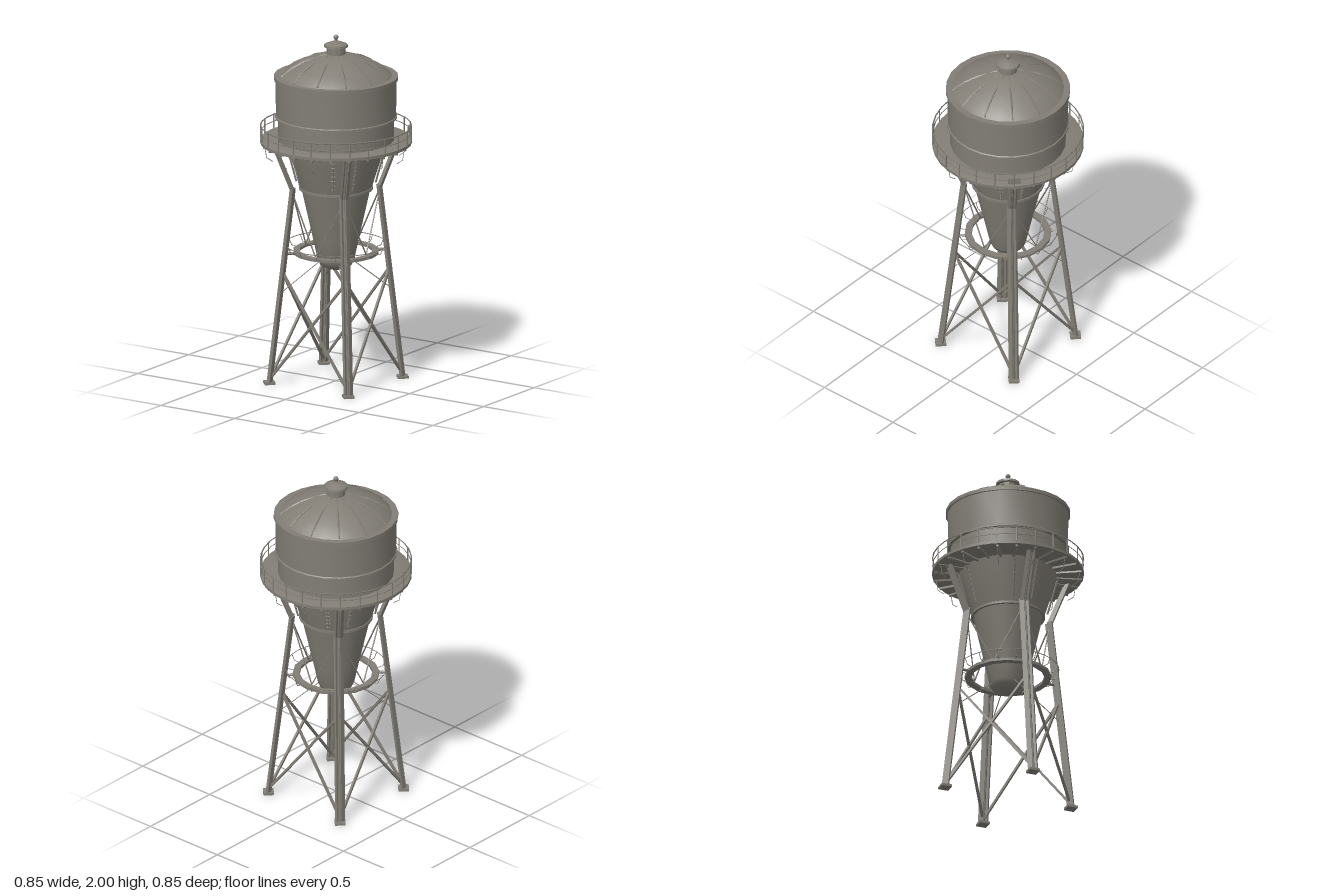
import * as THREE from 'three';
import { toCreasedNormals, mergeGeometries } from 'three/addons/utils/BufferGeometryUtils.js';

const V = (x, y, z) => new THREE.Vector3(x, y, z);
// point on a circle: angle, radius, height
const polar = (a, r, y) => V(Math.sin(a) * r, y, Math.cos(a) * r);

export function createModel() {
  const group = new THREE.Group();
  const steel = new THREE.MeshStandardMaterial({ color: 0x827e76, side: THREE.DoubleSide });
  steel.name = 'weatheredSteel';

  function add(name, geometry) {
    const mesh = new THREE.Mesh(geometry, steel);
    mesh.name = name;
    group.add(mesh);
    return mesh;
  }
  const lathe = (name, points, sides = 24, crease = 0.5) => add(name, toCreasedNormals(
    new THREE.LatheGeometry(points.map(p => new THREE.Vector2(...p)), sides), crease));

  // square or round bar between two points
  function bar(a, b, w, d = w, round = false) {
    const length = a.distanceTo(b);
    const geo = round ? new THREE.CylinderGeometry(w / 2, w / 2, length, 5)
      : new THREE.BoxGeometry(w, length, d);
    const dir = b.clone().sub(a).normalize();
    geo.applyQuaternion(new THREE.Quaternion().setFromUnitVectors(V(0, 1, 0), dir));
    const mid = a.clone().add(b).multiplyScalar(0.5);
    return geo.translate(mid.x, mid.y, mid.z);
  }
  const addBars = (name, list) => add(name, mergeGeometries(list));

  // thin hoop for railings
  function hoop(r, y, t) {
    return new THREE.TorusGeometry(r, t, 4, 32).rotateX(Math.PI / 2).translate(0, y, 0);
  }

  // --- Tank ---
  lathe('lowerTank', [[0.27, 1.385], [0.325, 1.385], [0.325, 1.53]]);
  lathe('upperTank', [[0.325, 1.525], [0.343, 1.525], [0.343, 1.535], [0.337, 1.54], [0.34, 1.75]]);
  lathe('tankRim', [[0.335, 1.745], [0.349, 1.745], [0.349, 1.766], [0.31, 1.766], [0.31, 1.75]]);
  lathe('domeRoof', [[0.318, 1.762], [0.295, 1.786], [0.245, 1.82], [0.18, 1.853],
    [0.11, 1.879], [0.05, 1.89]], 24, 0.6);
  const ribs = [];
  for (let i = 0; i < 12; i++) {
    const a = i * Math.PI / 6 + Math.PI / 12;
    const path = [[0.31, 1.77], [0.245, 1.82], [0.18, 1.853], [0.06, 1.887]];
    for (let k = 0; k < 3; k++) ribs.push(bar(polar(a, ...path[k]), polar(a, ...path[k + 1]), 0.008));
  }
  addBars('roofRibs', ribs);
  lathe('roofVent', [[0.052, 1.87], [0.052, 1.93], [0.068, 1.932], [0.066, 1.945],
    [0.03, 1.96], [0.008, 1.966], [0.008, 1.978]], 12);
  add('finial', new THREE.SphereGeometry(0.014, 10, 8).translate(0, 1.986, 0));

  // --- Hopper ---
  lathe('upperHopper', [[0.2, 1.12], [0.25, 1.28], [0.278, 1.39]]);
  lathe('hopperBand', [[0.185, 1.112], [0.208, 1.112], [0.208, 1.126], [0.19, 1.126]]);
  lathe('hopperCone', [[0, 0.642], [0.045, 0.652], [0.09, 0.675], [0.102, 0.7], [0.13, 0.83],
    [0.195, 1.12]], 20, 0.7);

  // --- Walkway around the tank ---
  lathe('walkwayDeck', [[0.27, 1.377], [0.42, 1.377], [0.425, 1.379], [0.425, 1.396],
    [0.42, 1.398], [0.31, 1.398]], 32);
  const rails = [hoop(0.422, 1.478, 0.004), hoop(0.422, 1.438, 0.0025)];
  const hangers = [], joists = [];
  for (let i = 0; i < 24; i++) {
    const a = i * Math.PI / 12;
    rails.push(bar(polar(a, 0.422, 1.39), polar(a, 0.422, 1.48), 0.005));
    joists.push(bar(polar(a, 0.27, 1.37), polar(a, 0.415, 1.37), 0.012));
    // bent wire hanging below the deck edge
    if (i % 2) {
      hangers.push(bar(polar(a, 0.405, 1.37), polar(a, 0.395, 1.31), 0.003));
      hangers.push(bar(polar(a, 0.395, 1.31), polar(a, 0.36, 1.285), 0.003));
    }
  }
  addBars('walkwayRailing', rails);
  addBars('deckJoists', joists);
  addBars('deckHangers', hangers);
  const hatch = add('deckHatch', new THREE.BoxGeometry(0.07, 0.04, 0.012));
  hatch.position.copy(polar(Math.PI * 0.75, 0.418, 1.43));
  hatch.rotation.y = Math.PI * 0.75;

  // rungs up the hopper, a pair on each side
  const ladders = [];
  for (let s = 0; s < 4; s++) for (const m of [-1, 1]) {
    const a = s * Math.PI / 2 + m * 0.54;
    ladders.push(bar(polar(a, 0.281, 1.37), polar(a, 0.222, 1.15), 0.008));
    for (let k = 0; k < 8; k++) {
      const t = k / 7, p = polar(a, 0.278 - t * 0.054, 1.35 - t * 0.19);
      const side = V(Math.cos(a), 0, -Math.sin(a)).multiplyScalar(0.009);
      ladders.push(bar(p.clone().sub(side), p.clone().add(side), 0.005));
    }
  }
  addBars('hopperRungs', ladders);

  // --- Legs and bracing ---
  const legX = y => 0.268 - 0.094 * y / 1.12;
  const corner = (i, y, c = legX(y)) => polar(Math.PI / 4 + i * Math.PI / 2, c * Math.SQRT2, y);
  for (let i = 0; i < 4; i++) {
    // paired channels with batten plates form each leg
    const leg = [], turn = Math.PI / 4 + i * Math.PI / 2;
    const side = V(Math.cos(turn), 0, -Math.sin(turn)).multiplyScalar(0.013);
    for (const m of [-1, 1]) {
      const o = side.clone().multiplyScalar(m);
      leg.push(bar(corner(i, 0.01).add(o), corner(i, 1.125).add(o), 0.014, 0.03));
      leg.push(bar(corner(i, 1.11).add(o), corner(i, 1.38, 0.25).add(o), 0.012, 0.024));
    }
    leg.push(bar(corner(i, 0.01), corner(i, 1.12), 0.018));
    leg.push(bar(corner(i, 1.11), corner(i, 1.38, 0.25), 0.016));
    addBars('leg', leg);

    const foot = add('footPlate', new THREE.BoxGeometry(0.06, 0.014, 0.06));
    foot.position.copy(corner(i, 0.007));
    foot.rotation.y = turn;

    const j = i + 1, brace = [];
    // crossed struts low down
    brace.push(bar(corner(i, 0.03), corner(j, 0.64), 0.013));
    brace.push(bar(corner(j, 0.03), corner(i, 0.64), 0.013));
    // slim rods above, meeting midway at the ring
    const mid = corner(i, 0.76).add(corner(j, 0.76)).multiplyScalar(0.5);
    brace.push(bar(corner(i, 1.1), mid, 0.006), bar(corner(j, 1.1), mid, 0.006));
    // stay rod to the hopper tip
    brace.push(bar(corner(i, 0.52), polar(turn, 0.1, 0.69), 0.004));
    // strut from ring to leg
    brace.push(bar(polar(turn, 0.22, 0.748), corner(i, 0.748), 0.012));
    addBars('bracing', brace);
  }

  // --- Lower ring walkway ---
  lathe('lowerRing', [[0.205, 0.742], [0.243, 0.742], [0.243, 0.758], [0.205, 0.758], [0.205, 0.742]], 16);
  const lowRail = [hoop(0.285, 0.792, 0.0025)];
  for (let i = 0; i < 16; i++) {
    const a = (i + 0.5) * Math.PI / 8;
    lowRail.push(bar(polar(a, 0.24, 0.752), polar(a, 0.27, 0.758), 0.003));
    lowRail.push(bar(polar(a, 0.27, 0.758), polar(a, 0.285, 0.792), 0.003));
  }
  addBars('lowerRailing', lowRail);

  return group;
}
